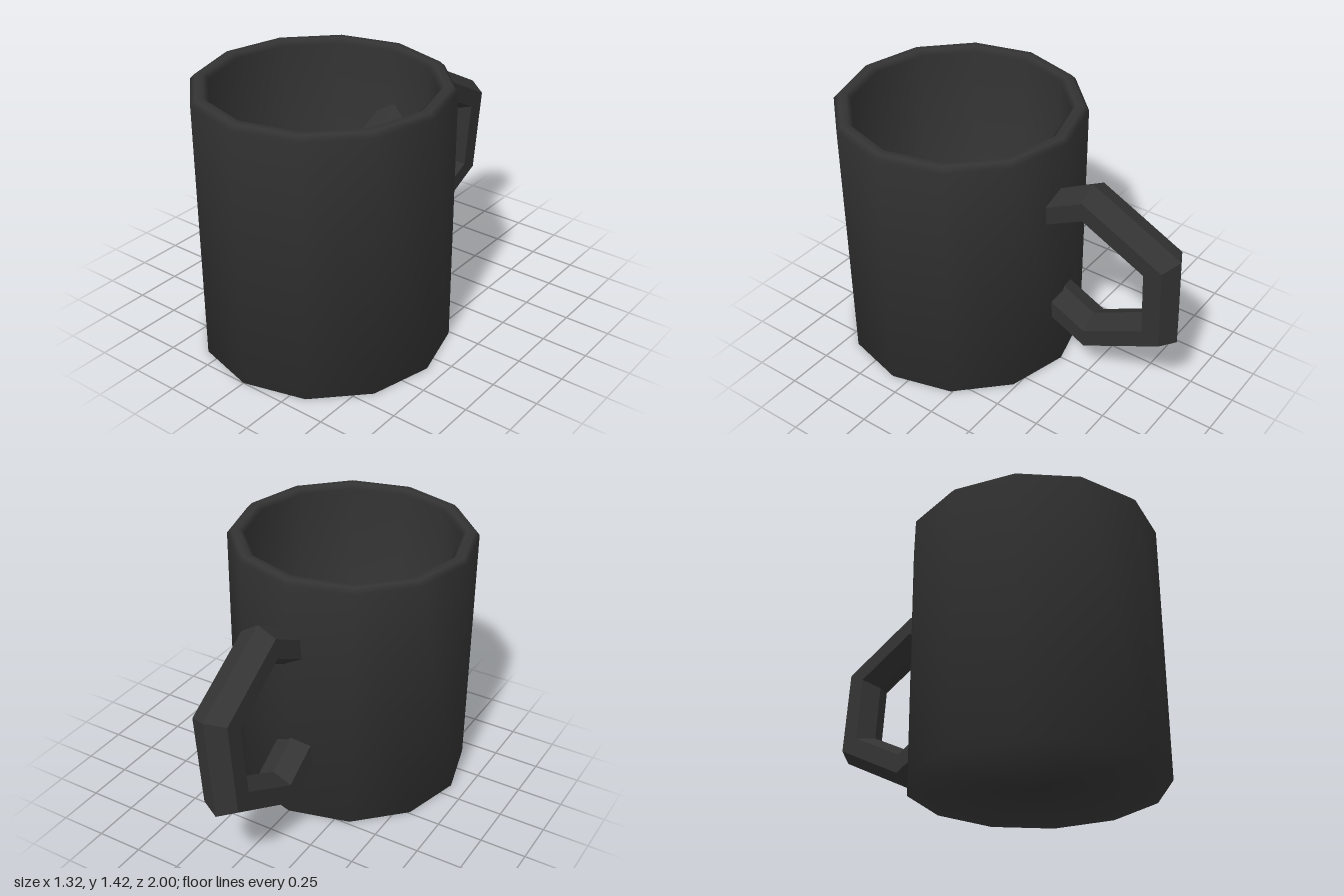
import * as THREE from 'three';

export function createModel() {
  const model = new THREE.Group();
  const material = new THREE.MeshStandardMaterial({ color: 0x333333 });
  const flat = material.clone();
  flat.flatShading = true;

  // Cup: twelve-sided shell with soft normals, from the flat base up the outside,
  // over the bevelled rim and straight down to the inner floor
  const profile = [
    [0, 0], [0.66, 0],
    [0.66, 1.395], [0.635, 1.42], [0.595, 1.42], [0.568, 1.395],
    [0.568, 0.09], [0, 0.09],
  ].map(([r, y]) => new THREE.Vector2(r, y));
  const cup = new THREE.Mesh(new THREE.LatheGeometry(profile, 12), material);
  cup.name = 'cup';
  cup.position.z = 0.34;
  model.add(cup);

  // Handle: faceted hexagonal ring passing through the back wall, leaning slightly
  const ring = new THREE.TorusGeometry(0.462, 0.116, 6, 6);
  ring.rotateZ(Math.PI / 2);
  ring.rotateY(Math.PI / 2);
  ring.scale(1, 0.93, 1);
  const handle = new THREE.Mesh(ring, flat);
  handle.name = 'handle';
  handle.rotation.z = -0.08;
  handle.position.set(0, 0.715, -0.5);
  model.add(handle);

  return model;
}
